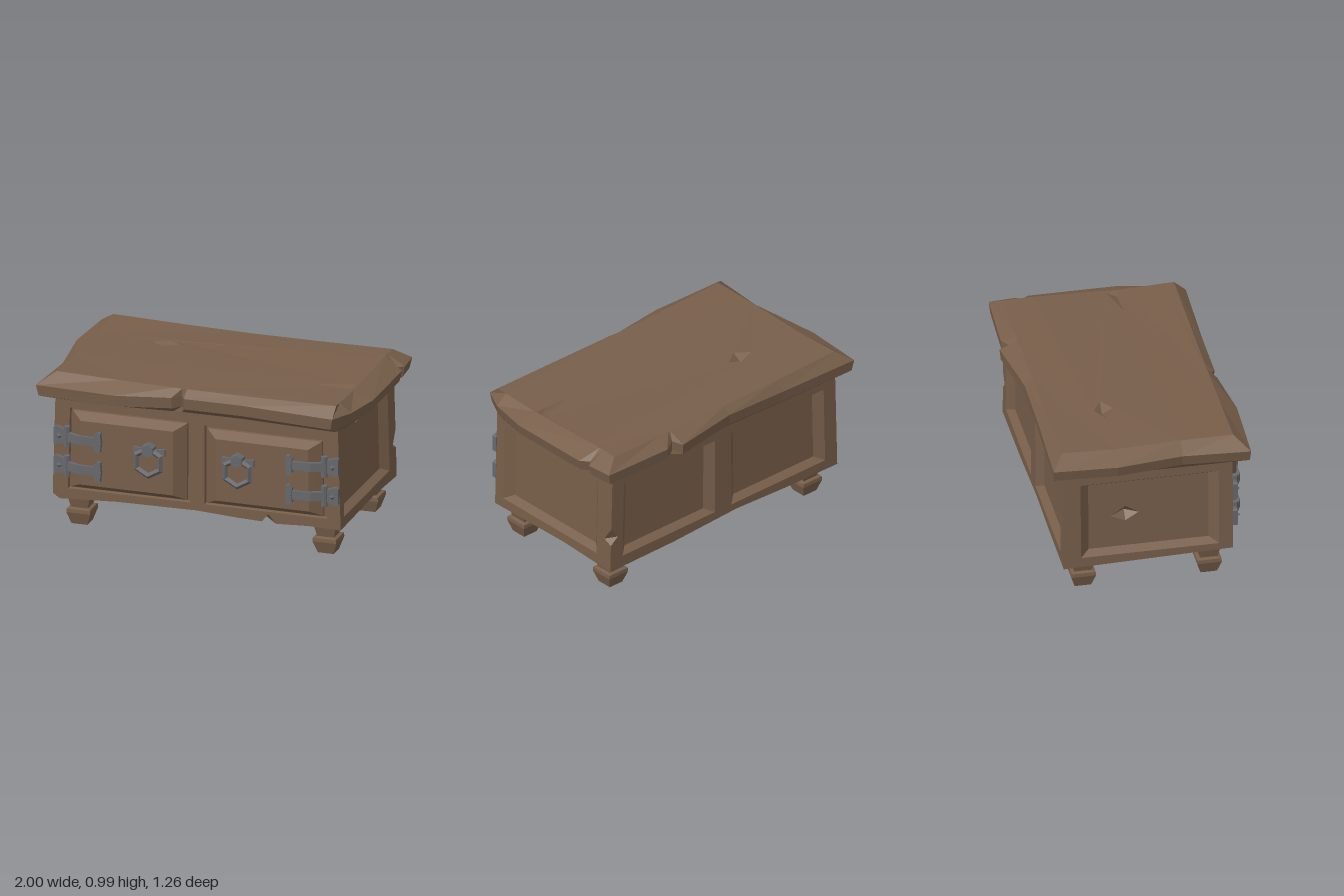
import * as THREE from 'three';

const wood = new THREE.MeshStandardMaterial({ color: 0x775e4a, flatShading: true, side: THREE.DoubleSide });
wood.name = 'brown wood';
const iron = new THREE.MeshStandardMaterial({ color: 0x66686b, flatShading: true });
iron.name = 'grey iron';

const V = (x, y, z) => new THREE.Vector3(x, y, z);

function mesh(name, geometry, material, x = 0, y = 0, z = 0) {
  const m = new THREE.Mesh(geometry, material);
  m.name = name;
  m.position.set(x, y, z);
  return m;
}

function fromTriangles(points) {
  const g = new THREE.BufferGeometry().setFromPoints(points);
  g.computeVertexNormals();
  return g;
}

// Flat sheet with holes; map turns each 2D point into a 3D one
function sheet(out, contour, holes, map) {
  const toV2 = (list) => list.map((p) => new THREE.Vector2(p[0], p[1]));
  const all = [contour, ...holes].flat();
  for (const f of THREE.ShapeUtils.triangulateShape(toV2(contour), holes.map(toV2))) {
    for (const i of f) out.push(map(all[i][0], all[i][1]));
  }
}

// Skin joining closed rings of equal length
function loft(out, rings) {
  for (let r = 0; r + 1 < rings.length; r++) {
    const a = rings[r], b = rings[r + 1], n = a.length;
    for (let i = 0; i < n; i++) {
      const j = (i + 1) % n;
      out.push(a[i], a[j], b[j], a[i], b[j], b[i]);
    }
  }
}

// Pointed dent behind a hole
function pit(out, ring, apex) {
  ring.forEach((p, i) => out.push(p, ring[(i + 1) % ring.length], apex));
}

const rect = ([x0, x1, y0, y1], dx = 0, dy = 0) =>
  [[x0 + dx, y0 + dy], [x1 - dx, y0 + dy], [x1 - dx, y1 - dy], [x0 + dx, y1 - dy]];

// Stepped rings [inset x, inset y, height] for recessed panels and raised doors
const RECESS = [[0, 0, 0], [0.055, 0.03, -0.045]];
const DOOR = [[0, 0, 0], [0.005, 0.005, -0.02], [0.02, 0.015, -0.02], [0.02, 0.015, 0], [0.09, 0.055, 0.06]];

// One side of the body: framed face with panels and dents, turned into place
function bodySide(name, outline, panels, steps, angle, distance, dents = [], panelDents = []) {
  const out = [];
  sheet(out, outline, [...panels.map((p) => rect(p)), ...dents.map((d) => d.ring)], (x, y) => V(x, y, 0));
  for (const p of panels) {
    loft(out, steps.map(([dx, dy, z]) => rect(p, dx, dy).map(([x, y]) => V(x, y, z))));
    const [dx, dy, z] = steps[steps.length - 1];
    sheet(out, rect(p, dx, dy), panelDents.map((d) => d.ring), (x, y) => V(x, y, z));
    for (const d of panelDents) pit(out, d.ring.map(([x, y]) => V(x, y, z)), V(d.apex[0], d.apex[1], z - 0.05));
  }
  for (const d of dents) pit(out, d.ring.map(([x, y]) => V(x, y, 0)), V(d.apex[0], d.apex[1], -0.04));
  const g = fromTriangles(out.map((p) => p.clone()));
  g.translate(0, 0, distance).rotateY(angle);
  return mesh(name, taper(g), wood);
}

// Body narrows slightly towards the top
function taper(g) {
  const p = g.attributes.position;
  for (let i = 0; i < p.count; i++) p.setX(i, p.getX(i) * (1 - 0.03 * (p.getY(i) - 0.25)));
  g.computeVertexNormals();
  return g;
}

function buildBody() {
  const body = new THREE.Group();
  body.name = 'body';
  const W = 0.905, D = 0.515, T = 0.84;
  const frontBottom = [[-W, 0.21], [-0.86, 0.18], [-0.5, 0.2], [0, 0.205], [0.26, 0.19], [0.41, 0.185],
    [0.45, 0.235], [0.5, 0.18], [0.7, 0.19], [W, 0.185]];
  const backBottom = [[-W, 0.175], [-0.4, 0.18], [0.1, 0.205], [0.5, 0.19], [W, 0.185]];

  body.add(bodySide('frontWithDoors', [...frontBottom, [W, T], [-W, T]],
    [[-0.81, -0.04, 0.25, 0.765], [0.05, 0.82, 0.25, 0.75]], DOOR, 0, D));
  body.add(bodySide('back', [...backBottom, [W, T], [-W, T], [-W, 0.47], [-0.85, 0.4], [-W, 0.355]],
    [[-0.81, -0.07, 0.25, 0.75], [0.06, 0.81, 0.25, 0.75]], RECESS, Math.PI, D));
  body.add(bodySide('leftSide', [[-D, 0.185], [0.1, 0.195], [D, 0.175], [D, 0.355], [0.455, 0.38], [D, 0.47], [D, T], [-D, T]],
    [[-0.445, 0.39, 0.25, 0.75]], RECESS, Math.PI / 2, W,
    [{ ring: [[-0.21, 0.76], [-0.125, 0.76], [-0.17, 0.82]], apex: [-0.17, 0.765] }]));
  body.add(bodySide('rightSide', [[-D, 0.185], [D, 0.21], [D, T], [-D, T]],
    [[-0.41, 0.43, 0.25, 0.75]], RECESS, -Math.PI / 2, W, [],
    [{ ring: [[-0.22, 0.49], [-0.13, 0.45], [-0.05, 0.5], [-0.13, 0.55]], apex: [-0.13, 0.5] }]));

  // Chip in the rear corner post
  const a = V(W, 0.355, -D), b = V(W, 0.47, -D), p = V(W, 0.38, -0.455), q = V(0.85, 0.4, -D);
  body.add(mesh('cornerChip', taper(fromTriangles([a, p, q, b, q, p])), wood));

  // Wavy underside
  const rim = [...frontBottom.map(([x, y]) => V(x, y, D)), V(W, 0.195, -0.1),
    ...backBottom.map(([x, y]) => V(-x, y, -D))];
  const tris = [];
  rim.forEach((r, i) => tris.push(rim[(i + 1) % rim.length], r, V(0, 0.2, 0)));
  body.add(mesh('underside', taper(fromTriangles(tris)), wood));
  return body;
}

function buildLid() {
  // Worn outline as x, z, running round with notches
  const outline = [[-0.975, -0.59], [-0.42, -0.57], [0, -0.568], [0.43, -0.632], [0.45, -0.555], [0.53, -0.605],
    [0.98, -0.585], [0.992, -0.42], [0.955, -0.39], [1, -0.34], [1, 0.2], [0.95, 0.45], [0.88, 0.592],
    [0.3, 0.575], [-0.06, 0.575], [-0.09, 0.525], [-0.14, 0.575], [-0.48, 0.625], [-0.98, 0.61],
    [-0.95, 0.2], [-1, -0.2]].reverse();
  const top = (x, z) => 0.976 - 0.007 * x + 0.008 * Math.cos(6 * z + 2.5 * x);
  const clamp = (v, m) => Math.max(-m, Math.min(m, v));
  const ring = (mx, mz, y) => outline.map(([x, z]) => V(clamp(x, mx), y(x, z), clamp(z, mz)));
  const wave = (x) => 0.008 * Math.sin(4 * x + 1);
  const upper = ring(0.88, 0.52, (x, z) => top(clamp(x, 0.88), clamp(z, 0.52)));
  const out = [];
  loft(out, [
    ring(0.87, 0.5, () => 0.815),
    ring(0.91, 0.53, (x) => 0.82 + wave(x)),
    outline.map(([x, z]) => V(x * 0.985, 0.852 + wave(x), z * 0.99)),
    outline.map(([x, z]) => V(x, 0.92 + wave(x), z)),
    upper,
  ]);
  // Dents in the top, as x and -z
  const knot = { ring: [[-0.52, 0.18], [-0.43, 0.12], [-0.34, 0.18], [-0.43, 0.235]], apex: [-0.43, 0.185] };
  const crack = { ring: [[0.64, -0.168], [0.8, -0.183], [0.872, -0.18], [0.86, -0.105]], apex: [0.84, -0.165] };
  const lift = (u, v) => V(u, top(u, -v), -v);
  sheet(out, upper.map((p) => [p.x, -p.z]), [knot.ring, crack.ring], lift);
  for (const d of [knot, crack]) pit(out, d.ring.map(([u, v]) => lift(u, v)), lift(...d.apex).setY(0.94));
  return mesh('lid', fromTriangles(out), wood);
}

// Square turned foot
function buildLegs() {
  const legs = new THREE.Group();
  legs.name = 'legs';
  const profile = [[0, 0], [0.05, 0], [0.075, 0.075], [0.073, 0.098], [0.053, 0.105], [0.077, 0.21]]
    .map(([r, y]) => new THREE.Vector2(r * Math.SQRT2, y));
  for (const x of [-0.765, 0.785]) {
    for (const z of [-0.38, 0.385]) legs.add(mesh('leg', new THREE.LatheGeometry(profile, 4, Math.PI / 4), wood, x, 0, z));
  }
  return legs;
}

function extrude(points, depth) {
  const shape = new THREE.Shape(points.map(([x, y]) => new THREE.Vector2(x, y)));
  return new THREE.ExtrudeGeometry(shape, { depth, bevelEnabled: false });
}

// Strap hinge for the -x side
function buildHinge(y) {
  const hinge = new THREE.Group();
  hinge.name = 'hinge';
  hinge.position.y = y;
  hinge.add(mesh('cornerPlate', extrude([[-0.89, -0.05], [-0.875, -0.058], [-0.8, -0.035], [-0.8, 0.035],
    [-0.875, 0.058], [-0.89, 0.05]], 0.035), iron, 0, 0, 0.512));
  hinge.add(mesh('knuckle', new THREE.CylinderGeometry(0.02, 0.02, 0.13, 6), iron, -0.805, 0, 0.545));
  hinge.add(mesh('rivet', new THREE.ConeGeometry(0.02, 0.02, 4).rotateX(Math.PI / 2), iron, -0.855, 0, 0.556));
  const strap = extrude([[-0.81, 0.525], [-0.72, 0.57], [-0.58, 0.57], [-0.58, 0.592], [-0.73, 0.592], [-0.81, 0.555]], 0.055);
  hinge.add(mesh('strap', strap.rotateX(Math.PI / 2), iron, 0, 0.0275, 0));
  hinge.add(mesh('strapEnd', extrude([[-0.62, -0.045], [-0.6, -0.065], [-0.58, -0.06], [-0.573, 0],
    [-0.58, 0.06], [-0.6, 0.065], [-0.62, 0.045], [-0.612, 0]], 0.033), iron, 0, 0, 0.57));
  return hinge;
}

// Hexagonal ring pull on a small mount
function buildPull() {
  const pull = new THREE.Group();
  pull.name = 'ringPull';
  pull.add(mesh('ring', new THREE.TorusGeometry(0.086, 0.019, 4, 6).rotateZ(Math.PI / 6), iron, -0.275, 0.508, 0.602));
  pull.add(mesh('mountBar', extrude([[-0.1, -0.025], [-0.07, -0.015], [0.07, -0.015], [0.1, -0.025], [0.1, 0.02],
    [0.07, 0.015], [-0.07, 0.015], [-0.1, 0.02]], 0.022), iron, -0.275, 0.575, 0.572));
  pull.add(mesh('mountLoop', new THREE.CylinderGeometry(0.04, 0.045, 0.05, 6).rotateX(Math.PI / 2), iron, -0.275, 0.585, 0.6));
  return pull;
}

export function createModel() {
  const model = new THREE.Group();
  model.name = 'lowChest';
  model.add(buildBody(), buildLid(), buildLegs());
  for (const side of [1, -1]) {
    const fittings = new THREE.Group();
    fittings.name = side > 0 ? 'rightDoorFittings' : 'leftDoorFittings';
    fittings.add(buildHinge(0.59), buildHinge(0.405), buildPull());
    fittings.scale.x = side;
    if (side < 0) fittings.position.x = 0.01;
    model.add(fittings);
  }
  return model;
}
